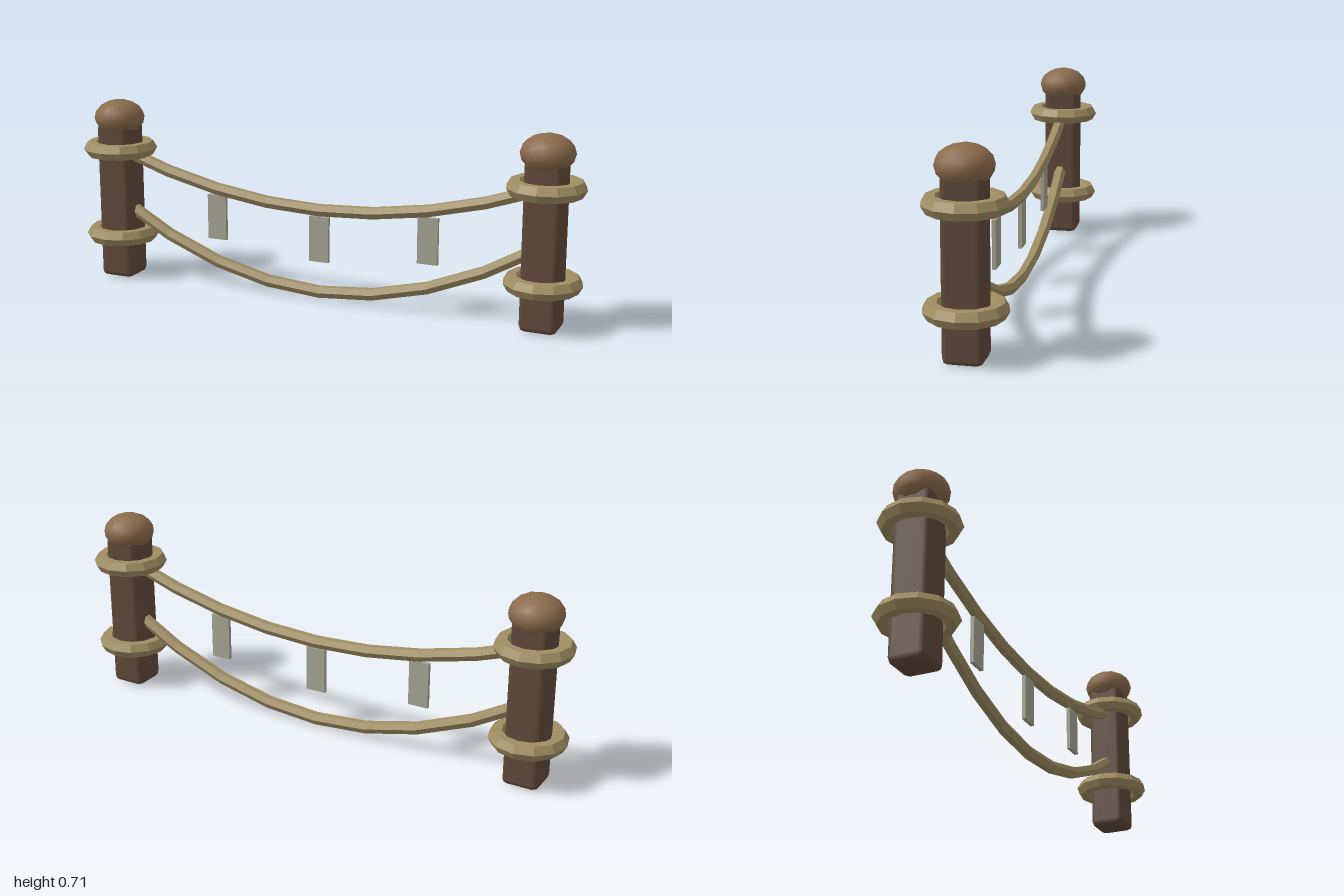
import * as THREE from 'three';
import { RoundedBoxGeometry } from 'three/addons/geometries/RoundedBoxGeometry.js';

const POST_X = 0.857;

function material(name, color, flatShading = false) {
  const m = new THREE.MeshStandardMaterial({ color, flatShading });
  m.name = name;
  return m;
}

export function createModel() {
  const postWood = material('dark wood', 0x60493a);
  const knobWood = material('light wood', 0x8b6b4c);
  const ropeFibre = material('rope', 0xa08e62, true);
  const tagCloth = material('grey cloth', 0xa6a594, true);

  const model = new THREE.Group();
  model.name = 'ropeFence';

  function add(parent, name, geometry, mat, x, y, z = 0) {
    const mesh = new THREE.Mesh(geometry, mat);
    mesh.name = name;
    mesh.position.set(x, y, z);
    parent.add(mesh);
    return mesh;
  }

  // Posts with a squashed knob and two rope rings
  const postGeo = new RoundedBoxGeometry(0.137, 0.62, 0.137, 1, 0.022);
  const knobGeo = new THREE.IcosahedronGeometry(1, 2).scale(0.097, 0.07, 0.097);
  const ringGeo = new THREE.TorusGeometry(0.111, 0.032, 6, 12).rotateX(Math.PI / 2);
  for (const side of [-1, 1]) {
    const post = new THREE.Group();
    post.name = side > 0 ? 'leftPost' : 'rightPost';
    post.position.x = side * POST_X;
    add(post, 'shaft', postGeo, postWood, 0, 0.31);
    add(post, 'knob', knobGeo, knobWood, 0, 0.637);
    add(post, 'lowerRing', ringGeo, ropeFibre, 0, 0.172);
    add(post, 'upperRing', ringGeo, ropeFibre, 0, 0.515);
    model.add(post);
  }

  // Sagging ropes, each a chain of straight lengths
  const sagY = (low, rise, x) => low + rise * (x / POST_X) ** 2;
  function addRope(name, low, rise) {
    const rope = new THREE.Group();
    rope.name = name;
    const count = 8;
    const up = new THREE.Vector3(0, 1, 0);
    const point = (i) => {
      const x = POST_X * (2 * i / count - 1);
      return new THREE.Vector3(x, sagY(low, rise, x), 0);
    };
    for (let i = 0; i < count; i++) {
      const a = point(i), b = point(i + 1);
      const dir = b.clone().sub(a);
      const geo = new THREE.CylinderGeometry(0.024, 0.024, dir.length() + 0.006, 6);
      const mid = a.add(b).multiplyScalar(0.5);
      const length = add(rope, 'ropeLength', geo, ropeFibre, mid.x, mid.y);
      length.quaternion.setFromUnitVectors(up, dir.normalize());
    }
    model.add(rope);
  }
  addRope('upperRope', 0.347, 0.165);
  addRope('lowerRope', 0.029, 0.275);

  // Cloth tags hanging from the upper rope
  const tagGeo = new THREE.BoxGeometry(0.078, 0.175, 0.014);
  for (const x of [-0.429, 0, 0.429]) {
    add(model, 'hangingTag', tagGeo, tagCloth, x, sagY(0.347, 0.165, x) - 0.112);
  }

  return model;
}
